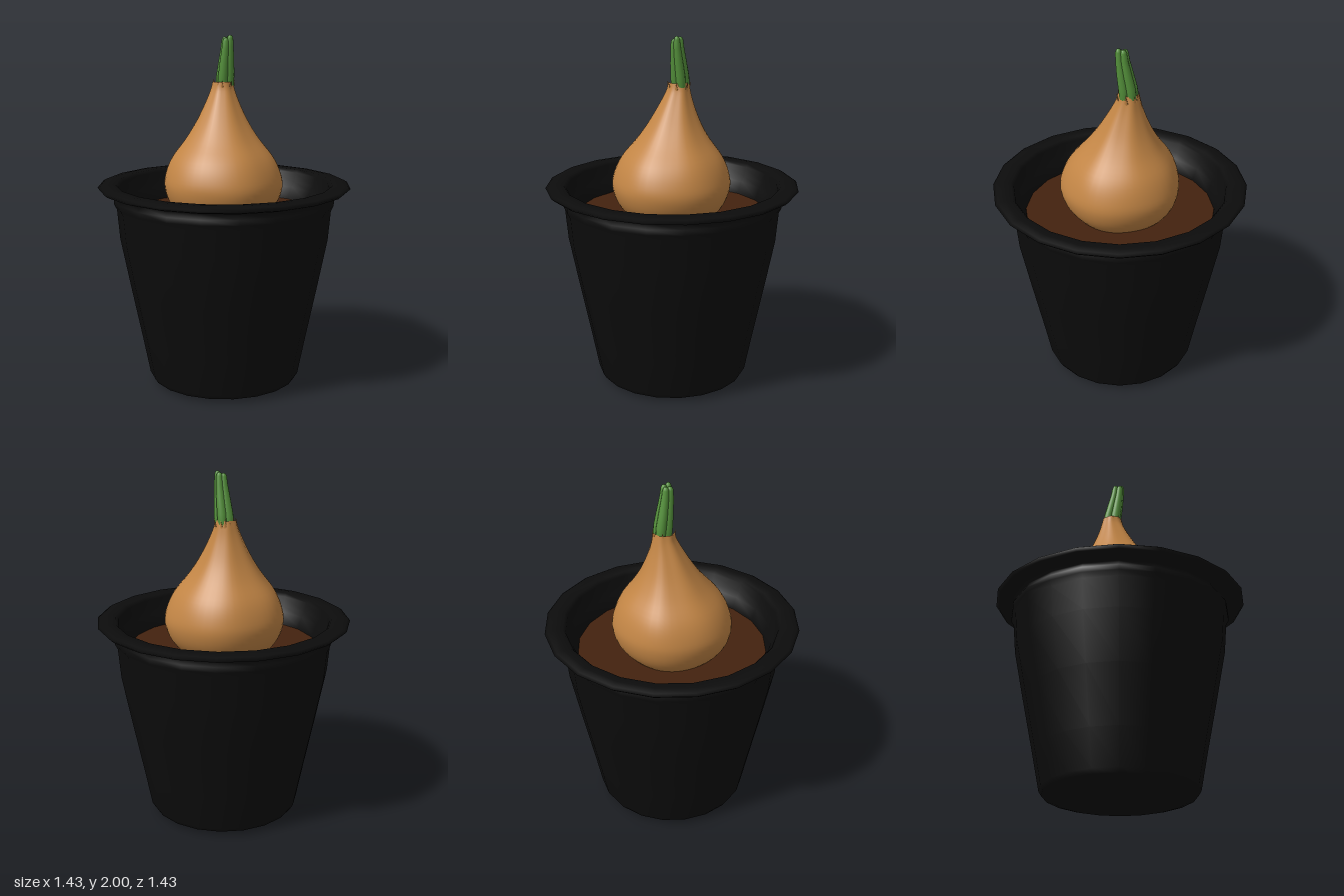
import * as THREE from 'three';
import { mergeVertices } from 'three/addons/utils/BufferGeometryUtils.js';

const mat = (name, color) => {
  const m = new THREE.MeshStandardMaterial({ color });
  m.name = name;
  return m;
};

// Lathe of [radius, y] points; each vertex can be moved by a rule (v, angle)
function turned(points, sides, rule) {
  let g = new THREE.LatheGeometry(points.map(([r, y]) => new THREE.Vector2(r, y)), sides);
  if (!rule) return g;
  g.deleteAttribute('uv');
  g.deleteAttribute('normal');
  g = mergeVertices(g, 1e-5);
  const p = g.attributes.position, v = new THREE.Vector3();
  for (let i = 0; i < p.count; i++) {
    v.fromBufferAttribute(p, i);
    rule(v, Math.atan2(v.x, v.z));
    p.setXYZ(i, v.x, v.y, v.z);
  }
  g.computeVertexNormals();
  return g;
}

// Smooth a short profile into more rings
const smooth = (points, n) => new THREE.SplineCurve(points.map(([r, y]) => new THREE.Vector2(r, y)))
  .getPoints(n).map(q => [Math.max(q.x, 0), q.y]);

export function createModel() {
  const model = new THREE.Group();
  const black = mat('potBlack', 0x0c0c0c);
  const brown = mat('soilBrown', 0x43220f);
  const tan = mat('bulbTan', 0xc28545);
  const green = mat('shootGreen', 0x538f3a);
  const add = (name, geometry, material, parent = model) => {
    const m = new THREE.Mesh(geometry, material);
    m.name = name;
    parent.add(m);
    return m;
  };

  // Pot: floor, tapering wall, collar, flared rim and inner wall
  add('pot', turned([
    [0, 0.005], [0.25, 0.008], [0.38, 0.018], [0.42, 0.03], [0.435, 0.055],
    [0.475, 0.26], [0.54, 0.58], [0.595, 0.86], [0.61, 1.03], [0.625, 1.06], [0.625, 1.09],
    [0.61, 1.12], [0.65, 1.128], [0.7, 1.143], [0.716, 1.158], [0.7, 1.168], [0.66, 1.174],
    [0.615, 1.172], [0.6, 1.155], [0.59, 1.1], [0.565, 1.07], [0.54, 1.01], [0.525, 0.93],
  ], 20), black);

  // Soil surface
  const soil = add('soil', new THREE.CircleGeometry(0.538, 20), brown);
  soil.rotation.x = -Math.PI / 2;
  soil.position.y = 1.0;

  // Bulb: drop shape whose neck leans back and to the right, with soft folds
  const bulbProfile = smooth([
    [0, 0.9], [0.13, 0.92], [0.235, 0.98], [0.305, 1.06], [0.335, 1.15], [0.325, 1.23],
    [0.285, 1.32], [0.208, 1.42], [0.15, 1.51], [0.1, 1.61], [0.068, 1.69], [0.056, 1.74],
  ], 44);
  const lean = y => Math.max(0, (y - 1.15) / 0.55);
  add('bulb', turned(bulbProfile, 48, (v, a) => {
    const k = Math.min(lean(v.y), 1);
    const fold = 1 + 0.012 * Math.sin(5 * a + 3 * v.y) + 0.03 * k * Math.sin(7 * a + 1);
    v.x = v.x * fold - 0.025 * k - 0.005;
    v.z = v.z * fold - 0.042 * k * k + 0.004;
  }), tan);

  // Papery tips around the neck
  const tips = new THREE.Group();
  tips.name = 'paperyTips';
  model.add(tips);
  for (let i = 0; i < 9; i++) {
    const a = i * Math.PI * 2 / 9 + 0.3 * Math.sin(i * 5);
    const h = 0.1 + 0.025 * Math.sin(i * 3);
    const geo = new THREE.ConeGeometry(0.022, h, 6);
    geo.scale(1, 1, 0.4);
    geo.rotateX(0.1 + 0.1 * Math.sin(i * 7));
    geo.translate(0, 0, 0.058);
    geo.rotateY(a);
    add('paperyTip', geo, tan, tips).position.set(-0.028, 1.7, -0.04);
  }

  // Shoot: bundle of tapering leaves, bent towards the middle as they rise
  const shoot = new THREE.Group();
  shoot.name = 'shoot';
  model.add(shoot);
  const leaves = [
    // base x, base z, top x, top z, radius, top y
    [-0.055, -0.055, -0.012, -0.03, 0.028, 1.99],
    [-0.022, -0.025, 0.006, -0.01, 0.03, 1.985],
    [0.006, -0.05, 0.026, -0.022, 0.027, 2.0],
    [-0.025, -0.075, 0.008, -0.042, 0.028, 1.995],
  ];
  for (const [bx, bz, tx, tz, r, top] of leaves) {
    const h = top - 1.68;
    const profile = [
      [0, 0], [0.6, 0.03], [0.95, 0.12], [1, 0.3], [0.9, 0.55],
      [0.72, 0.8], [0.62, 0.94], [0.4, 0.985], [0, 1],
    ].map(([k, t]) => [k * r, 1.68 + t * h]);
    add('leaf', turned(profile, 12, v => {
      const t = (v.y - 1.68) / h;
      const s = t * t * (3 - 2 * t);
      v.x += bx + (tx - bx) * s;
      v.z += bz + (tz - bz) * s;
    }), green, shoot);
  }

  return model;
}
